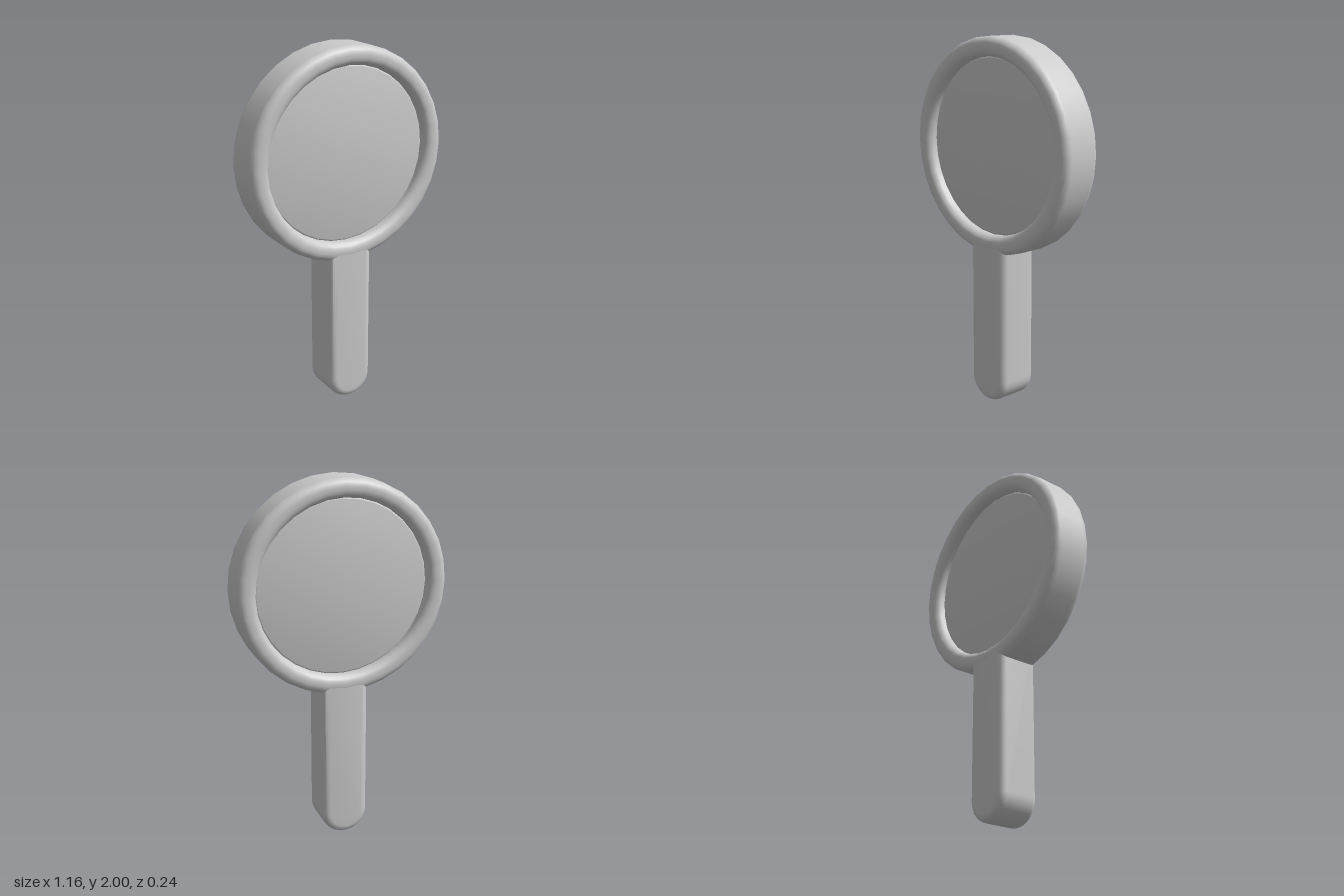
import * as THREE from 'three';
import { toCreasedNormals } from 'three/addons/utils/BufferGeometryUtils.js';

const CENTER_Y = 1.42, OUTER = 0.58, INNER = 0.475, HALF_DEPTH = 0.122;
const SIDES = 32;

// Points around a rounded corner, in (radius, height) of a lathe profile
function corner(cx, cy, r, startAngle, steps = 5) {
  return Array.from({ length: steps + 1 }, (_, i) => {
    const a = startAngle + (i / steps) * Math.PI / 2;
    return new THREE.Vector2(cx + r * Math.cos(a), cy + r * Math.sin(a));
  });
}

export function createModel() {
  const group = new THREE.Group();
  const material = new THREE.MeshStandardMaterial({ color: 0xcccccc });
  const add = (name, geometry) => {
    const mesh = new THREE.Mesh(geometry, material);
    mesh.name = name;
    group.add(mesh);
    return mesh;
  };

  // Round frame: a closed rounded-rectangle section turned about the z axis
  const b = 0.045, h = HALF_DEPTH - b;
  const start = new THREE.Vector2(INNER, 0);
  const frameProfile = [
    start,
    ...corner(INNER + b, -h, b, Math.PI),
    ...corner(OUTER - b, -h, b, -Math.PI / 2),
    ...corner(OUTER - b, h, b, 0),
    ...corner(INNER + b, h, b, Math.PI / 2),
    start.clone(),
  ];
  const frame = add('frame', new THREE.LatheGeometry(frameProfile, SIDES));
  frame.rotation.x = Math.PI / 2;
  frame.position.y = CENTER_Y;

  // Recessed lens, visible from both sides, with a softened edge
  const t = 0.066, e = 0.012, lensR = INNER + 0.003;
  const lensProfile = [
    new THREE.Vector2(0, -t),
    ...corner(lensR - e, -t + e, e, -Math.PI / 2, 3),
    ...corner(lensR - e, t - e, e, 0, 3),
    new THREE.Vector2(0, t),
  ];
  const lensGeometry = toCreasedNormals(new THREE.LatheGeometry(lensProfile, SIDES), 0.7);
  const lens = add('lens', lensGeometry);
  lens.rotation.x = Math.PI / 2;
  lens.position.y = CENTER_Y;

  // Handle: a bar with a rounded foot and bevelled edges, running into the frame
  const bevel = 0.04, halfWidth = 0.13, depth = 0.121, top = 0.925;
  const r = halfWidth - bevel;
  const shape = new THREE.Shape();
  shape.moveTo(r, top - bevel);
  shape.lineTo(-r, top - bevel);
  shape.lineTo(-r, halfWidth);
  shape.absarc(0, halfWidth, r, Math.PI, 2 * Math.PI, false);
  shape.closePath();
  const handleGeometry = new THREE.ExtrudeGeometry(shape, {
    depth: 2 * (depth - bevel), bevelEnabled: true, bevelSize: bevel,
    bevelThickness: bevel, bevelSegments: 5, curveSegments: 12,
  });
  handleGeometry.translate(0, 0, -(depth - bevel));
  add('handle', toCreasedNormals(handleGeometry, 0.7));

  return group;
}
